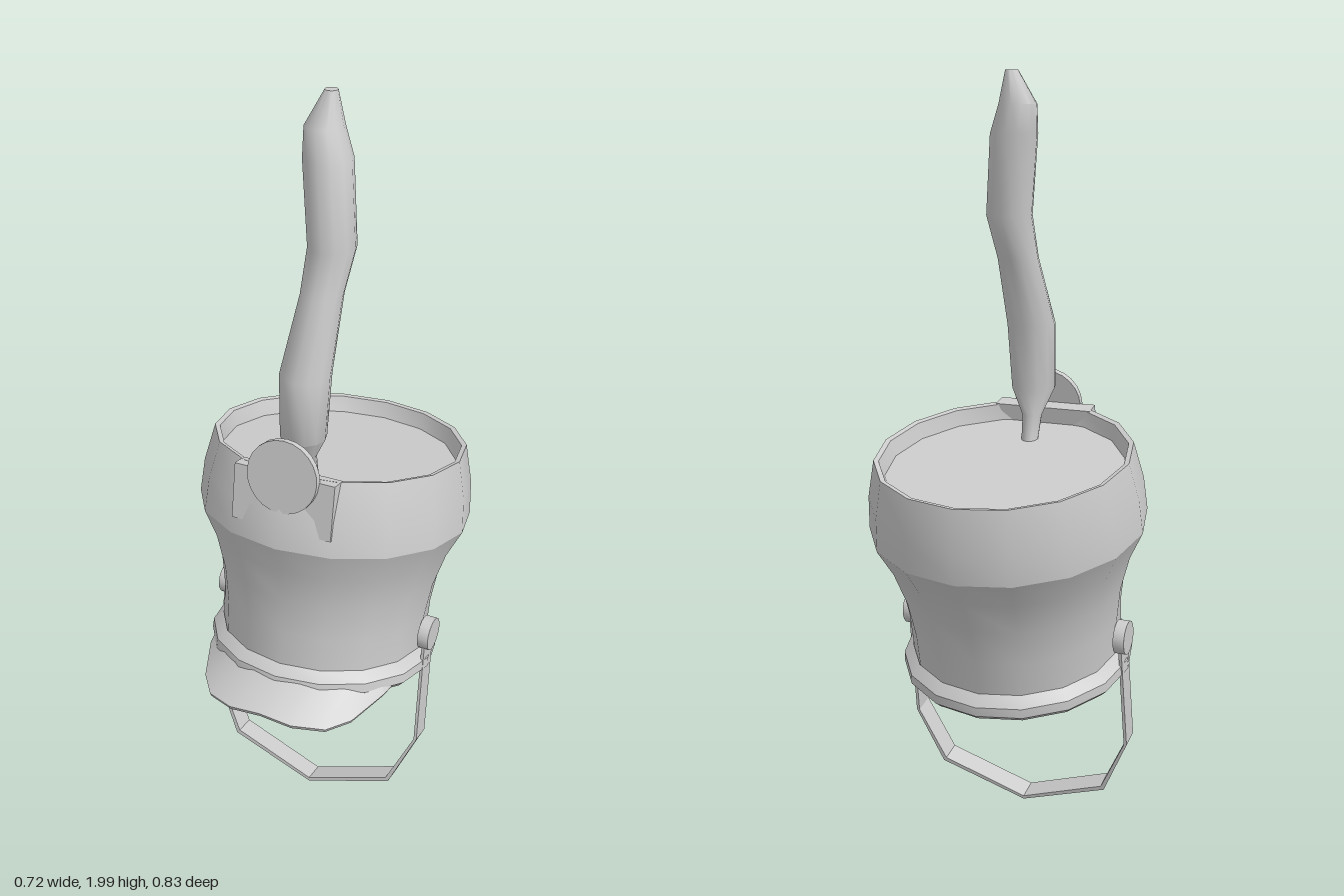
import * as THREE from 'three';
import { toCreasedNormals } from 'three/addons/utils/BufferGeometryUtils.js';

const grey = new THREE.MeshStandardMaterial({ color: 0xcccccc, side: THREE.DoubleSide });
grey.name = 'light grey';

function add(parent, name, geometry, crease = 0.5) {
  const mesh = new THREE.Mesh(crease ? toCreasedNormals(geometry, crease) : geometry, grey);
  mesh.name = name;
  parent.add(mesh);
  return mesh;
}

const lathe = (points) =>
  new THREE.LatheGeometry(points.map(([r, y]) => new THREE.Vector2(r, y)), 16);

// Joins rows of points (all the same length) into one indexed surface.
function surface(rows, closed) {
  const n = rows[0].length, index = [];
  for (let i = 0; i < rows.length - 1; i++) {
    for (let j = 0; j < (closed ? n : n - 1); j++) {
      const k = (j + 1) % n, a = i * n, b = a + n;
      index.push(a + j, b + j, a + k, a + k, b + j, b + k);
    }
  }
  const g = new THREE.BufferGeometry();
  g.setAttribute('position', new THREE.Float32BufferAttribute(rows.flat(2), 3));
  g.setIndex(index);
  g.computeVertexNormals();
  return g;
}

export function createModel() {
  const model = new THREE.Group();
  model.name = 'plumedHat';

  // Everything but the plume shares one backward tilt
  const hat = new THREE.Group();
  hat.name = 'hat';
  hat.position.set(0, 0.48, 0.02);
  hat.rotation.x = -0.18;
  model.add(hat);

  // Body flaring up into the crown band, with a recessed top
  add(hat, 'body', lathe([[0.28, 0.03], [0.283, 0.14], [0.297, 0.24], [0.325, 0.335],
    [0.361, 0.41]]));
  add(hat, 'crownBand', lathe([[0.361, 0.41], [0.354, 0.5], [0.331, 0.6],
    [0.318, 0.597], [0.307, 0.555]]));
  add(hat, 'recessedTop', lathe([[0.307, 0.555], [0, 0.555]]));
  add(hat, 'bottomBand', lathe([[0.268, 0.03], [0.272, -0.005], [0.295, -0.016], [0.31, 0.0],
    [0.308, 0.025], [0.282, 0.05]]));

  // Visor: [angle from the front in degrees, outer radius, outer height]
  const half = [[72, 0.29, 0.01], [55, 0.315, -0.012], [37, 0.357, -0.05],
    [26, 0.382, -0.062], [13, 0.393, -0.055]];
  const edge = [...half.map(([a, r, y]) => [-a, r, y]), [0, 0.388, -0.045],
    ...half.slice().reverse()];
  const polar = (deg, r, y) => {
    const a = THREE.MathUtils.degToRad(deg);
    return [r * Math.sin(a), y, r * Math.cos(a)];
  };
  add(hat, 'visor', surface([
    edge.map(([a]) => polar(a, 0.285, 0.03)),
    edge.map(([a, r, y]) => polar(a, r, y)),
    edge.map(([a, r, y]) => polar(a, r - 0.006, y - 0.01)),
    edge.map(([a]) => polar(a, 0.285, 0.012)),
  ], false));

  // Front badge on its backing plate
  add(hat, 'badgePlate', new THREE.BoxGeometry(0.27, 0.145, 0.047).translate(0, 0.527, 0.313));
  add(hat, 'badge', new THREE.CylinderGeometry(0.094, 0.094, 0.018, 24)
    .rotateX(Math.PI / 2).translate(0, 0.597, 0.342));

  // Chin strap hanging in a faceted loop, fastened with a button at each side
  const strap = new THREE.Group();
  strap.name = 'chinStrap';
  strap.position.set(0, 0.575, 0);
  strap.rotation.x = -0.165;
  model.add(strap);
  const path = [[0.303, 0], [0.31, -0.32], [0.24, -0.482], [0, -0.566]];
  const mirror = (p) => [...p, ...p.slice(0, -1).reverse().map(([x, y]) => [-x, y])];
  const outer = mirror(path);
  const inner = mirror(path.map(([x, y], i) => [Math.max(0, x - 0.008), y + (i > 1 ? 0.01 : 0)]));
  const loop = new THREE.Shape([...outer, ...inner.reverse()].map(([x, y]) => new THREE.Vector2(x, y)));
  add(strap, 'strapLoop', new THREE.ExtrudeGeometry(loop, { depth: 0.062, bevelEnabled: false })
    .translate(0, 0, -0.031), 0.3);
  for (const side of [1, -1]) {
    add(strap, side > 0 ? 'leftButton' : 'rightButton',
      new THREE.CylinderGeometry(0.045, 0.045, 0.03, 16).rotateZ(Math.PI / 2)
        .translate(side * 0.3, 0, 0));
  }

  // Plume: rings of [x, y, z, radius] from the stem to the tip
  const rings = [[0, 1.05, 0.1, 0.022], [0, 1.12, 0.12, 0.026], [0.005, 1.19, 0.145, 0.058],
    [0.01, 1.36, 0.14, 0.064], [0.02, 1.54, 0.068, 0.053], [0.033, 1.65, 0.04, 0.059],
    [0.01, 1.85, 0.013, 0.06], [-0.005, 1.92, 0, 0.048], [0.008, 2, -0.008, 0.016],
    [0.008, 2, -0.008, 0.0005]];
  const rows = rings.map(([x, y, z, r]) => Array.from({ length: 12 }, (_, i) => {
    const a = -i * Math.PI / 6;
    return [x + r * Math.cos(a), y, z + r * Math.sin(a)];
  }));
  add(model, 'plume', surface(rows.map((row) => row.slice().reverse()).reverse(), true), 0.7);

  return model;
}
